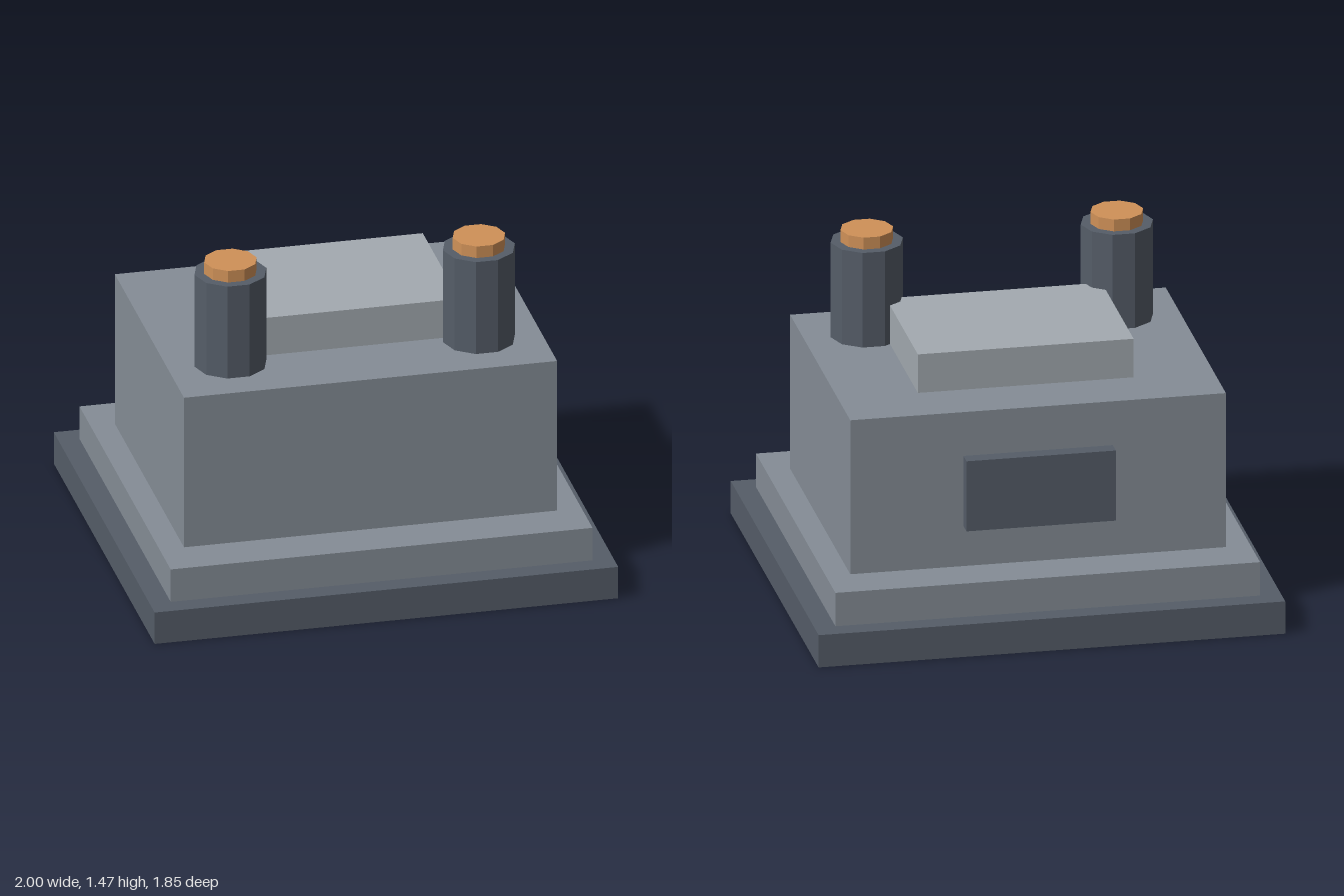
import * as THREE from 'three';

export function createModel() {
  const model = new THREE.Group();
  model.name = 'terminalBlock';

  const mat = (color) => new THREE.MeshStandardMaterial({ color, flatShading: true });
  const dark = mat(0x555d68);
  const steel = mat(0x858d96);
  const light = mat(0xa3aab0);
  const copper = mat(0xcf9158);

  const add = (name, geometry, material, x, y, z) => {
    const mesh = new THREE.Mesh(geometry, material);
    mesh.name = name;
    mesh.position.set(x, y, z);
    model.add(mesh);
    return mesh;
  };

  // Box from its lower and upper limits, centred on x
  const box = (name, material, width, y0, y1, z0, z1) =>
    add(name, new THREE.BoxGeometry(width, y1 - y0, z1 - z0), material, 0, (y0 + y1) / 2, (z0 + z1) / 2);

  // Ten-sided post with corners pointing along x
  const post = (name, material, r, x, y0, y1, z) =>
    add(name, new THREE.CylinderGeometry(r, r, y1 - y0, 10, 1, false, Math.PI / 2), material, x, (y0 + y1) / 2, z);

  // Stepped base and main housing
  box('basePlate', dark, 2, 0, 0.145, -0.927, 0.927);
  box('plinth', steel, 1.82, 0.145, 0.295, -0.838, 0.838);
  box('housing', steel, 1.61, 0.295, 0.987, -0.635, 0.635);

  // Raised lid and rear panel
  box('lid', light, 0.925, 0.987, 1.16, -0.375, 0.3);
  box('rearPanel', dark, 0.64, 0.475, 0.79, -0.7, -0.635);

  // Pair of terminals with copper caps
  for (const [side, s] of [['left', 1], ['right', -1]]) {
    post(side + 'Terminal', dark, 0.155, s * 0.536, 0.987, 1.412, 0.342);
    post(side + 'TerminalCap', copper, 0.113, s * 0.536, 1.412, 1.465, 0.342);
  }

  return model;
}
